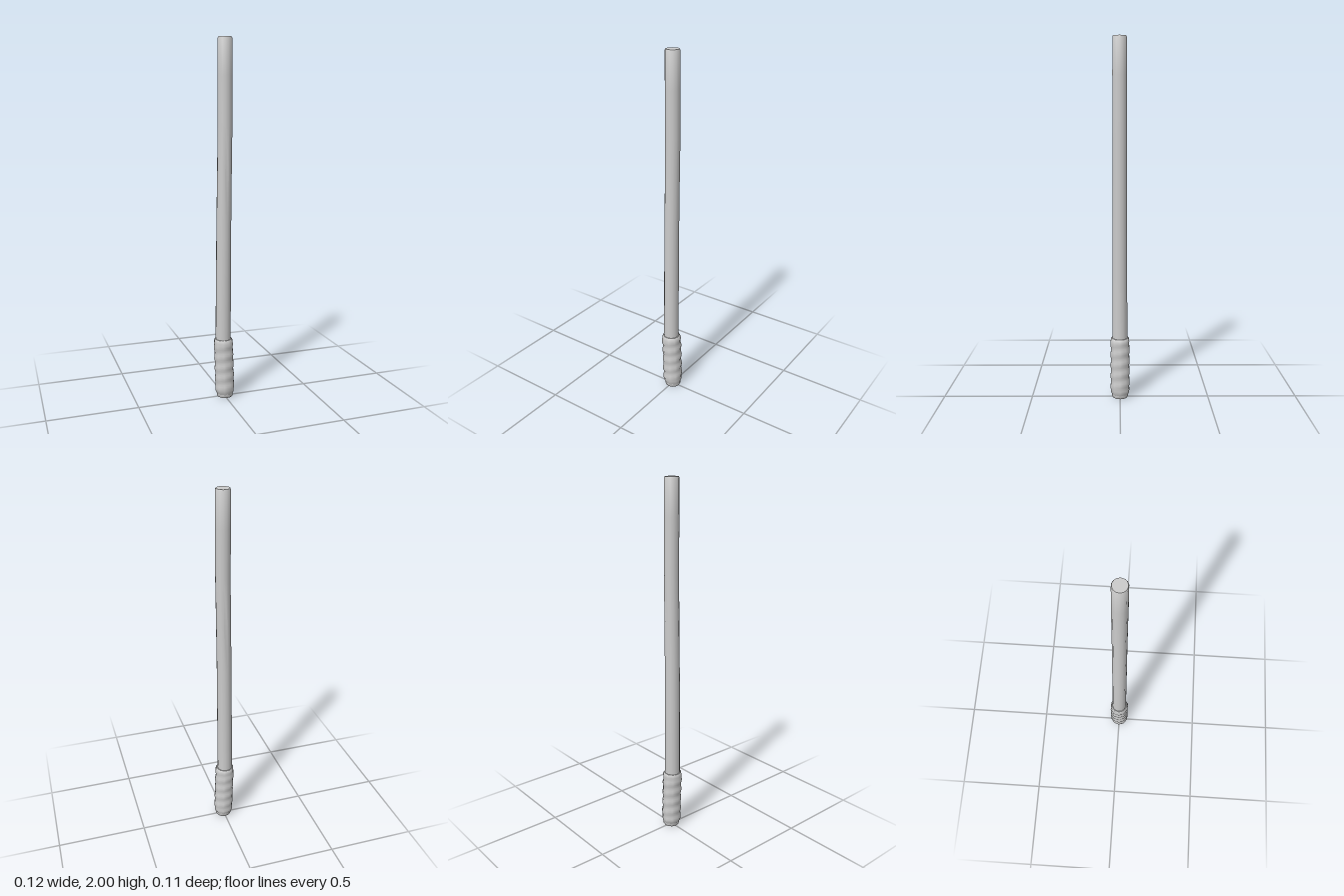
import * as THREE from 'three';
import { mergeVertices, toCreasedNormals } from 'three/addons/utils/BufferGeometryUtils.js';

const material = new THREE.MeshStandardMaterial({ color: 0xcccccc });

// Slightly bent centre line: [y, x, z]
const CENTRES = [
  [0, 0.003, 0], [0.2, -0.002, 0], [0.36, -0.008, 0.001],
  [1.0, -0.004, 0.002], [1.55, 0.003, 0.002], [2, 0.002, 0.003],
];

function centreAt(y) {
  let i = 0;
  while (i < CENTRES.length - 2 && y > CENTRES[i + 1][0]) i++;
  const a = CENTRES[i], b = CENTRES[i + 1];
  const t = (y - a[0]) / (b[0] - a[0]);
  return [a[1] + (b[1] - a[1]) * t, a[2] + (b[2] - a[2]) * t];
}

// Turned profile [radius, y], scaled by a ripple rule and shifted onto the centre line
function turned(name, profile, sides, ripple = () => 1) {
  const points = profile.map(([r, y]) => new THREE.Vector2(r, y));
  let geometry = new THREE.LatheGeometry(points, sides, Math.PI / 2);
  geometry.deleteAttribute('uv');
  geometry.deleteAttribute('normal');
  geometry = mergeVertices(geometry, 1e-5);
  const p = geometry.attributes.position;
  for (let i = 0; i < p.count; i++) {
    const x = p.getX(i), y = p.getY(i), z = p.getZ(i);
    const k = ripple(y, Math.atan2(z, x));
    const [cx, cz] = centreAt(y);
    p.setXYZ(i, x * k + cx, y, z * k + cz);
  }
  const mesh = new THREE.Mesh(toCreasedNormals(geometry, 0.85), material);
  mesh.name = name;
  return mesh;
}

export function createModel() {
  const model = new THREE.Group();
  model.name = 'stick';

  // Long, faintly tapering shaft with a softened tip
  model.add(turned('shaft', [
    [0, 0.3], [0.043, 0.3], [0.043, 0.36], [0.042, 0.7], [0.041, 1.0],
    [0.04, 1.3], [0.04, 1.55], [0.04, 1.8], [0.039, 1.994], [0.036, 2], [0, 2],
  ], 14));

  // Wrapped grip with spiralling ridges
  const grip = [[0, 0.018], [0.046, 0.018], [0.053, 0.032]];
  const rows = 24;
  for (let i = 0; i <= rows; i++) grip.push([0.055, 0.045 + (0.28 * i) / rows]);
  grip.push([0.053, 0.338], [0.048, 0.345], [0.036, 0.345]);
  model.add(turned('grip', grip, 10, (y, angle) => {
    const fade = THREE.MathUtils.smoothstep(y, 0.025, 0.06) * (1 - THREE.MathUtils.smoothstep(y, 0.31, 0.34));
    return 1 + 0.045 * fade * Math.sin((y / 0.062) * Math.PI * 2 + angle);
  }));

  // Butt cap under the grip
  model.add(turned('buttCap', [[0, 0], [0.042, 0], [0.046, 0.006], [0.046, 0.022], [0, 0.022]], 12));

  return model;
}
